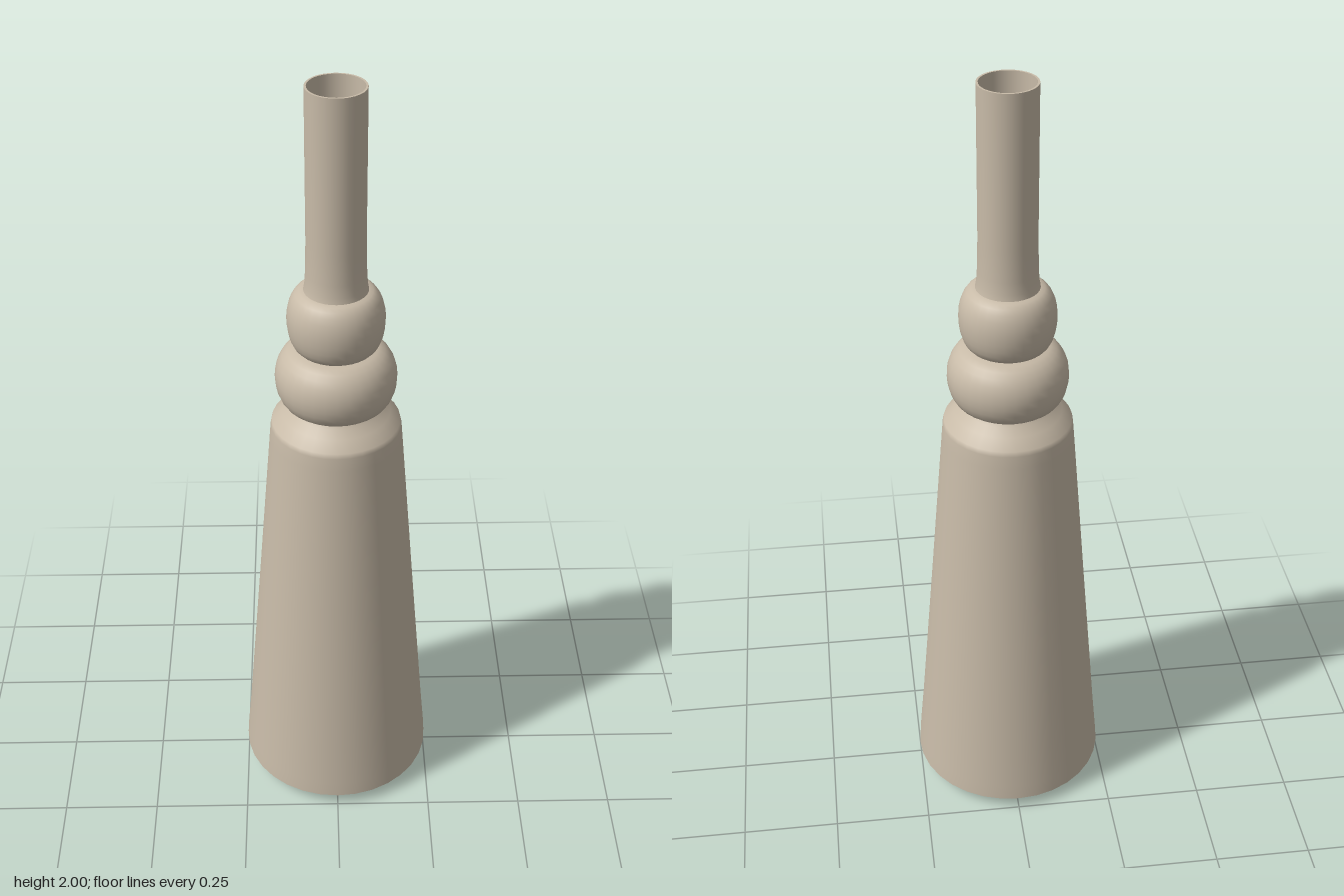
import * as THREE from 'three';

export function createModel() {
  const group = new THREE.Group();
  group.name = 'bottle';
  const clay = new THREE.MeshStandardMaterial({ color: 0xc8bba8 });
  clay.name = 'warm beige';

  // Each section is turned from [radius, height] points; seams between sections stay sharp.
  const turn = (name, points) => {
    const profile = points.map(([r, y]) => new THREE.Vector2(r, y));
    const mesh = new THREE.Mesh(new THREE.LatheGeometry(profile, 32), clay);
    mesh.name = name;
    group.add(mesh);
  };

  // Rounded bead profile between two pinches, bulging to radius r at height y
  const bead = (r, y, low, high) => {
    const points = [];
    for (let i = 0; i <= 12; i++) {
      const a = Math.PI * (i / 12 - 0.5);
      const [pinchR, pinchY] = a < 0 ? low : high;
      points.push([pinchR + (r - pinchR) * Math.cos(a), y + Math.abs(pinchY - y) * Math.sin(a)]);
    }
    return points;
  };

  const lowPinch = [0.11, 1.18], midPinch = [0.088, 1.337], neckFoot = [0.078, 1.495];

  // Slightly domed underside
  turn('base', [[0, 0], [0.13, 0.007], [0.21, 0.019], [0.252, 0.036]]);
  // Tapered body with a soft shoulder
  turn('body', [[0.252, 0.036], [0.249, 0.08], [0.238, 0.2], [0.2, 0.66], [0.166, 1.08],
    [0.163, 1.115], [0.16, 1.128], [0.135, 1.152], [0.117, 1.17], lowPinch]);
  // Two turned beads
  turn('lowerBead', bead(0.15, 1.256, lowPinch, midPinch));
  turn('upperBead', bead(0.119, 1.418, midPinch, neckFoot));
  // Slim neck, flaring slightly at its foot
  turn('neck', [neckFoot, [0.075, 1.51], [0.073, 1.54], [0.071, 1.62], [0.071, 2]]);
  // Thin lip and hollow mouth
  turn('lip', [[0.071, 2], [0.066, 2]]);
  turn('mouthWall', [[0.066, 2], [0.066, 1.45]]);
  turn('mouthFloor', [[0.066, 1.45], [0, 1.45]]);

  return group;
}
